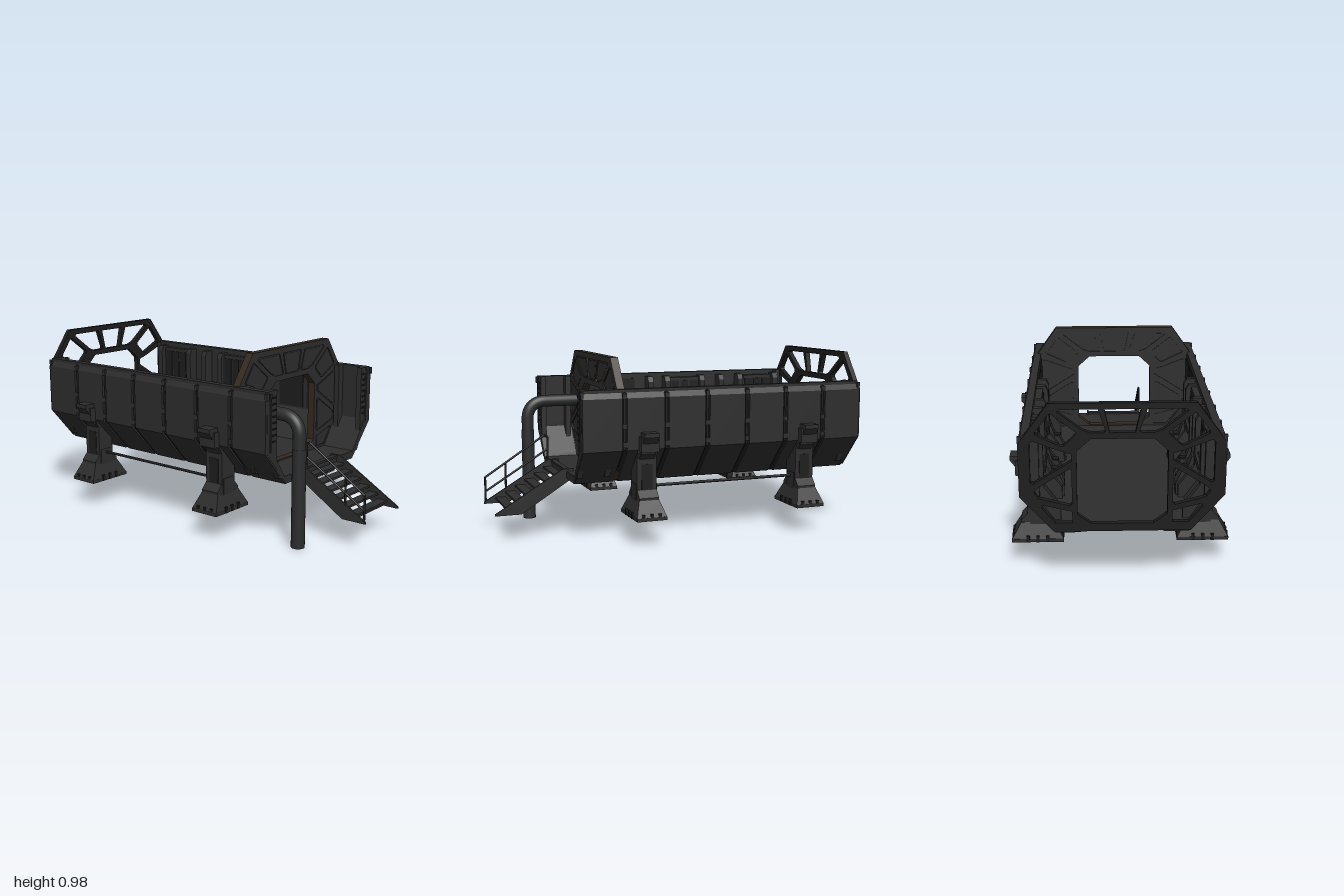
import * as THREE from 'three';

const mat = (name, color) => {
  const m = new THREE.MeshStandardMaterial({ color });
  m.name = name;
  return m;
};

export function createModel() {
  const root = new THREE.Group();
  root.name = 'raisedBay';
  const hull = mat('charcoal', 0x2d2d2d), dark = mat('black', 0x1d1d1d);
  const brown = mat('darkBrown', 0x35291d), steel = mat('steelGrey', 0x2b2c2d);

  const add = (name, geo, m, x = 0, y = 0, z = 0) => {
    const mesh = new THREE.Mesh(geo, m);
    mesh.name = name;
    mesh.position.set(x, y, z);
    root.add(mesh);
    return mesh;
  };
  const box = (name, m, w, h, d, x, y, z) => add(name, new THREE.BoxGeometry(w, h, d), m, x, y, z);
  const flip = (pts, s) => pts.map(([x, y]) => [x * s, y]);
  const v2 = pts => pts.map(p => new THREE.Vector2(...p));
  // closes a right-half outline into a symmetric one
  const sym = pts => [...pts, ...flip(pts, -1).reverse()];
  // x-y outline extruded from z0 to z1
  const slab = (name, m, pts, z0, z1, holes = []) => {
    const s = new THREE.Shape(v2(pts));
    s.holes = holes.map(h => new THREE.Path(v2(h)));
    const g = new THREE.ExtrudeGeometry(s, { depth: z1 - z0, bevelEnabled: false });
    return add(name, g, m, 0, 0, z0);
  };
  const rod = (name, m, a, b, r, sides = 8) => {
    const A = new THREE.Vector3(...a), B = new THREE.Vector3(...b), d = B.clone().sub(A);
    const mesh = add(name, new THREE.CylinderGeometry(r, r, d.length(), sides), m);
    mesh.position.copy(A).add(B).multiplyScalar(0.5);
    mesh.quaternion.setFromUnitVectors(new THREE.Vector3(0, 1, 0), d.normalize());
  };

  // Open trough: walls, slanted lower sides and floor
  slab('hull', hull, sym([[0.315, 0.32], [0.477, 0.505], [0.477, 0.82], [0.437, 0.82], [0.437, 0.52], [0.325, 0.357]]), -0.99, 0.61);

  // Outer armour panels, with ribs and bolts in the gaps
  const seams = [0.385, 0.155, -0.075, -0.305, -0.535, -0.765];
  const edges = [0.622, ...seams, -1.002];
  const panel = [[0.47, 0.803], [0.477, 0.803], [0.491, 0.775], [0.491, 0.505], [0.32, 0.315], [0.2, 0.315], [0.2, 0.322], [0.31, 0.322], [0.47, 0.508]];
  const rib = [[0.47, 0.81], [0.484, 0.80], [0.484, 0.507], [0.318, 0.318], [0.3, 0.322], [0.47, 0.51]];
  for (const s of [1, -1]) {
    for (let i = 0; i < 7; i++) slab('armourPanel', hull, flip(panel, s), edges[i + 1] + 0.013, edges[i] - 0.013);
    for (const z of seams) {
      slab('rib', dark, flip(rib, s), z - 0.006, z + 0.006);
      for (const y of [0.785, 0.63, 0.535]) box('ribBolt', hull, 0.016, 0.028, 0.022, s * 0.485, y, z);
      box('undersideSlot', dark, 0.16, 0.006, 0.018, s * 0.2, 0.314, z);
      box('undersideSlot', dark, 0.10, 0.006, 0.018, s * 0.09, 0.318, z - 0.1);
    }
    for (const z of [0.61, -0.988]) box('cornerCap', hull, 0.02, 0.035, 0.015, s * 0.482, 0.795, z);
  }
  box('bellyPlate', hull, 0.4, 0.005, 1.58, 0, 0.3185, -0.19);

  // Interior end frames, pillars, cabinets and consoles
  const frame = [[0.445, 0.82], [0.395, 0.82], [0.395, 0.44], [0.33, 0.352], [0.37, 0.352], [0.445, 0.5]];
  const pillar = [[0.445, 0.80], [0.39, 0.80], [0.375, 0.77], [0.375, 0.53], [0.295, 0.42], [0.295, 0.352], [0.33, 0.352], [0.445, 0.52]];
  const desk = [[0.44, 0.6], [0.40, 0.6], [0.385, 0.565], [0.365, 0.565], [0.345, 0.5], [0.32, 0.5], [0.285, 0.42], [0.285, 0.352], [0.33, 0.352], [0.44, 0.52]];
  for (const s of [1, -1]) {
    for (const z of [0.578, 0.43, -0.96]) slab('endFrame', hull, flip(frame, s), z, z + 0.03);
    for (const z of [-0.935, -0.69, -0.56, -0.43, -0.2, -0.09]) slab('pillar', hull, flip(pillar, s), z, z + 0.035);
    for (const [z0, z1] of [[-0.66, -0.59], [-0.53, -0.48], [-0.175, -0.115]]) {
      slab('console', hull, flip(desk, s), z0, z1);
      box('consoleScreen', dark, 0.04, 0.006, (z1 - z0) * 0.7, s * 0.335, 0.503, (z0 + z1) / 2);
    }
    for (const z of [-0.8, -0.3]) {
      box('cabinet', hull, 0.035, 0.3, 0.19, s * 0.42, 0.64, z);
      for (const k of [-1, 0, 1]) box('cabinetDoor', dark, 0.008, 0.26, 0.05, s * 0.402, 0.64, z + k * 0.06);
      for (const x of [0.37, 0.395]) rod('grabRail', dark, [s * x, 0.6, z - 0.11], [s * x, 0.6, z + 0.11], 0.006, 6);
    }
    for (const z of [0.1, 0.3]) box('wallPanel', dark, 0.006, 0.26, 0.17, s * 0.435, 0.66, z);
    // rungs on the wall ends
    for (let i = 0; i < 8; i++) box('wallEndRung', dark, 0.026, 0.008, 0.008, s * 0.42, 0.56 + i * 0.032, 0.61);
    box('wallEndStrip', hull, 0.012, 0.3, 0.012, s * 0.45, 0.66, 0.608);
  }

  // Octagonal bulkheads with rounds of window openings
  const outer = w => sym([[0.33, 0.325], [w, w > 0.47 ? 0.51 : 0.49], [w, w > 0.47 ? 0.775 : 0.82], [0.345, 0.975]]);
  const opening = sym([[0.15, 0.365], [0.215, 0.415], [0.215, 0.738], [0.148, 0.8]]);
  const sideWindows = [
    [[0.115, 0.945], [0.295, 0.945], [0.305, 0.935], [0.19, 0.845], [0.15, 0.83], [0.085, 0.83], [0.08, 0.84]],
    [[0.335, 0.925], [0.345, 0.92], [0.41, 0.83], [0.405, 0.82], [0.29, 0.765], [0.275, 0.765], [0.22, 0.82], [0.22, 0.835]],
    [[0.24, 0.69], [0.24, 0.725], [0.29, 0.74], [0.42, 0.79], [0.435, 0.78], [0.435, 0.58], [0.42, 0.575]],
    [[0.24, 0.645], [0.25, 0.65], [0.40, 0.555], [0.42, 0.53], [0.40, 0.5], [0.25, 0.46], [0.24, 0.47]],
    [[0.24, 0.43], [0.38, 0.465], [0.385, 0.45], [0.32, 0.37], [0.24, 0.37]],
  ];
  const windows = [[[-0.085, 0.945], [0.085, 0.945], [0.06, 0.83], [-0.06, 0.83]],
    ...sideWindows, ...sideWindows.map(w => flip(w, -1))];
  slab('frontBulkheadCore', [hull, brown], outer(0.455), 0.38, 0.41, [opening]);
  for (const z of [0.374, 0.41]) slab('frontBulkheadFrame', [hull, brown], outer(0.455), z, z + 0.006, [opening, ...windows]);
  for (const w of windows) {
    const c = w.reduce((a, p) => [a[0] + p[0] / w.length, a[1] + p[1] / w.length], [0, 0]);
    const inset = w.map(p => [c[0] + (p[0] - c[0]) * 0.88, c[1] + (p[1] - c[1]) * 0.88]);
    for (const z of [0.376, 0.41]) slab('windowPane', hull, inset, z, z + 0.004);
  }
  slab('rearBulkhead', dark, outer(0.49), -1, -0.972, [opening, ...windows]);

  // Legs: column, wall bracket, flared foot and toes
  const bracket = [[0.48, 0.597], [0.553, 0.597], [0.553, 0.575], [0.497, 0.5], [0.497, 0.482], [0.47, 0.45], [0.4, 0.4], [0.47, 0.49]];
  const column = [[0.37, 0.37], [0.485, 0.51], [0.49, 0.49], [0.472, 0.455], [0.472, 0.29], [0.507, 0.252], [0.507, 0.222], [0.337, 0.222], [0.337, 0.252], [0.37, 0.29]];
  for (const s of [1, -1]) {
    for (const z of [0.26, -0.665]) {
      slab('legBracket', hull, flip(bracket, s), z - 0.04, z + 0.04);
      slab('legColumn', hull, flip(column, s), z - 0.054, z + 0.054);
      box('bracketCap', hull, 0.045, 0.08, 0.1, s * 0.505, 0.535, z);
      for (const e of [1, -1]) box('legPlate', hull, 0.08, 0.1, 0.006, s * 0.422, 0.27, z + e * 0.055);
      box('legSlot', dark, 0.006, 0.13, 0.06, s * 0.472, 0.36, z);
      const foot = new THREE.BoxGeometry(0.265, 0.085, 0.166);
      const p = foot.attributes.position;
      for (let i = 0; i < p.count; i++) {
        if (p.getY(i) > 0) p.setXYZ(i, p.getX(i) * 0.64, p.getY(i), p.getZ(i) * 0.66);
      }
      foot.computeVertexNormals();
      add('foot', foot, hull, s * 0.422, 0.1975, z);
      box('footSole', hull, 0.265, 0.018, 0.166, s * 0.422, 0.149, z);
      for (const k of [-1, 0, 1]) {
        for (const e of [1, -1]) {
          box('toe', dark, 0.016, 0.034, 0.02, s * 0.422 + k * 0.05, 0.158, z + e * 0.077);
          box('toe', dark, 0.02, 0.034, 0.016, s * 0.422 + e * 0.122, 0.158, z + k * 0.045);
        }
      }
    }
    rod('tieRod', dark, [s * 0.42, 0.3, 0.22], [s * 0.42, 0.3, -0.63], 0.008);
  }

  // Supply pipe bending into the bay
  const path = new THREE.CurvePath();
  const P = (y, z) => new THREE.Vector3(-0.335, y, z);
  path.add(new THREE.LineCurve3(P(0.52, 0.705), P(0.585, 0.705)));
  path.add(new THREE.CubicBezierCurve3(P(0.585, 0.705), P(0.645, 0.705), P(0.685, 0.665), P(0.685, 0.6)));
  path.add(new THREE.LineCurve3(P(0.685, 0.6), P(0.685, 0.41)));
  add('pipeElbow', new THREE.TubeGeometry(path, 40, 0.034, 20), steel);
  rod('pipeRiser', steel, [-0.335, 0, 0.705], [-0.335, 0.52, 0.705], 0.036, 20);

  // Entry stairs: stringers drawn in z-y and turned sideways
  const stringer = new THREE.Shape(v2([[1, 0.14], [1, 0.15], [0.63, 0.37], [0.57, 0.37], [0.565, 0.325], [0.86, 0.14]]));
  for (const x of [-0.163, 0.163]) {
    const g = new THREE.ExtrudeGeometry(stringer, { depth: 0.01, bevelEnabled: false });
    g.rotateY(-Math.PI / 2);
    add('stairStringer', g, hull, x + 0.005);
  }
  for (let i = 0; i < 6; i++) box('stairTread', hull, 0.32, 0.011, 0.056, 0, 0.167 + i * 0.0315, 0.907 - i * 0.055);
  box('stairFootBar', hull, 0.32, 0.01, 0.03, 0, 0.145, 0.9);
  box('doorSill', hull, 0.33, 0.012, 0.03, 0, 0.36, 0.6);

  // Handrail on one side of the stairs
  const X = -0.163;
  const rails = [
    [[0.15, 0.99], [0.29, 0.99]], [[0.29, 0.99], [0.51, 0.65]], [[0.51, 0.65], [0.5, 0.632]],
    [[0.5, 0.632], [0.36, 0.632]], [[0.21, 0.99], [0.43, 0.632]], [[0.215, 0.875], [0.365, 0.875]],
  ];
  for (const [a, b] of rails) rod('handrail', dark, [X, ...a], [X, ...b], 0.006);
  return root;
}
